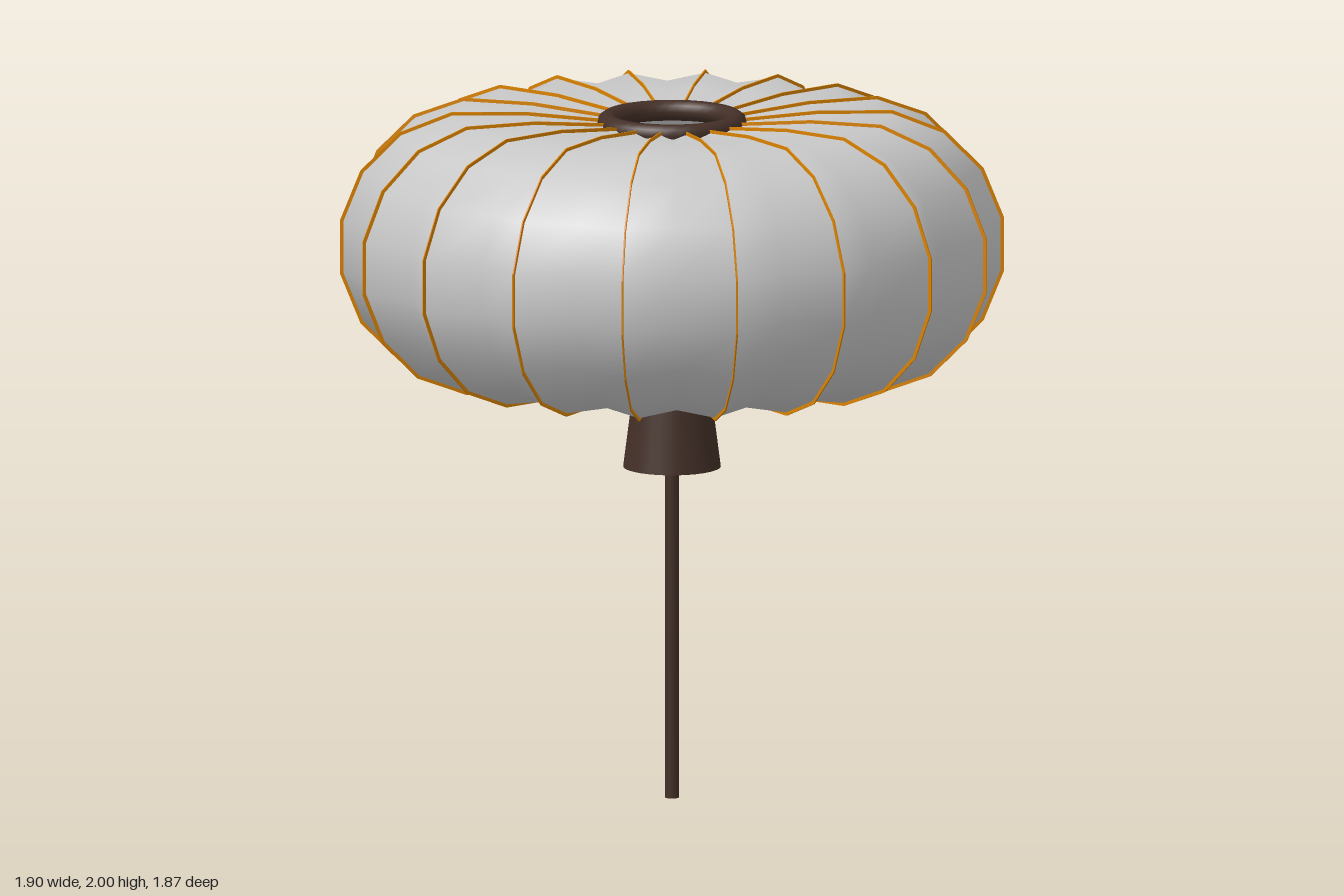
import * as THREE from 'three';

const RIBS = 18;
const MID_Y = 1.608;

// Upper half of the shade section as [radius, height above the middle]; mirrored for the lower half
const half = [[0.941, 0.076], [0.884, 0.217], [0.776, 0.325], [0.63, 0.382], [0.42, 0.382], [0.19, 0.36]];
const profile = [...half.map(([r, h]) => [r, -h]).reverse(), ...half];

// Section moved outwards along its normals by a distance
function offsetProfile(distance) {
  return profile.map(([r, h], i) => {
    const [r0, h0] = profile[Math.max(i - 1, 0)];
    const [r1, h1] = profile[Math.min(i + 1, profile.length - 1)];
    const normal = new THREE.Vector2(h1 - h0, r0 - r1).normalize();
    return new THREE.Vector2(r + normal.x * distance, h + normal.y * distance);
  });
}

// Pleated fabric: every second column is drawn inwards between two ribs
function pleatedShade() {
  const columns = RIBS * 2, rows = profile.length;
  const positions = [], indices = [];
  for (let i = 0; i < columns; i++) {
    const a = (i / columns) * Math.PI * 2;
    const valley = i % 2 === 1;
    for (const [r, h] of profile) {
      const radius = valley ? r * 0.923 : r;
      positions.push(radius * Math.cos(a), MID_Y + h * (valley ? 0.96 : 1), radius * Math.sin(a));
    }
    const next = (i + 1) % columns;
    for (let j = 0; j < rows - 1; j++) {
      const p = i * rows + j, q = next * rows + j;
      indices.push(p, p + 1, q, p + 1, q + 1, q);
    }
  }
  const g = new THREE.BufferGeometry();
  g.setAttribute('position', new THREE.Float32BufferAttribute(positions, 3));
  g.setIndex(indices);
  g.computeVertexNormals();
  return g;
}

// Thin upright strip that follows a pleat crest
function ribStrip() {
  const thickness = 0.004;
  const outline = [...offsetProfile(0.009), ...offsetProfile(-0.006).reverse()];
  return new THREE.ExtrudeGeometry(new THREE.Shape(outline), { depth: thickness, bevelEnabled: false })
    .translate(0, MID_Y, -thickness / 2);
}

export function createModel() {
  const model = new THREE.Group();
  model.name = 'lantern';

  const material = (name, color) => {
    const m = new THREE.MeshStandardMaterial({ color });
    m.name = name;
    return m;
  };
  const fabric = material('grey fabric', 0xc8c8c8);
  fabric.side = THREE.DoubleSide;
  const wood = material('dark brown wood', 0x432f27);
  wood.side = THREE.DoubleSide;
  const wire = material('orange strip', 0xd98200);
  const glass = material('white glass', 0xfafafa);

  const add = (name, geometry, mat, y = 0, parent = model) => {
    const mesh = new THREE.Mesh(geometry, mat);
    mesh.name = name;
    mesh.position.y = y;
    parent.add(mesh);
    return mesh;
  };

  add('shade', pleatedShade(), fabric);

  // Ribs along the pleat crests
  const ribs = new THREE.Group();
  ribs.name = 'ribs';
  model.add(ribs);
  const ribGeometry = ribStrip();
  for (let i = 0; i < RIBS; i++) {
    add('rib', ribGeometry, wire, 0, ribs).rotation.y = (i / RIBS) * Math.PI * 2;
  }

  // Open ring on top, closed plate below
  add('topRing', new THREE.TorusGeometry(0.185, 0.03, 10, 32).rotateX(Math.PI / 2), wood, 1.966);
  add('bottomPlate', new THREE.CylinderGeometry(0.215, 0.215, 0.03, 32), wood, 1.24);

  // Bulb inside the shade
  add('bulb', new THREE.SphereGeometry(0.21, 32, 20), glass, 1.52);
  add('bulbNeck', new THREE.CylinderGeometry(0.09, 0.07, 0.16, 20), glass, 1.32);

  // Hollow tapered socket and the pole running up into it
  add('socket', new THREE.CylinderGeometry(0.105, 0.14, 0.27, 32, 1, true), wood, 1.1);
  add('pole', new THREE.CylinderGeometry(0.02, 0.02, 1.23, 16), wood, 0.615);

  return model;
}
